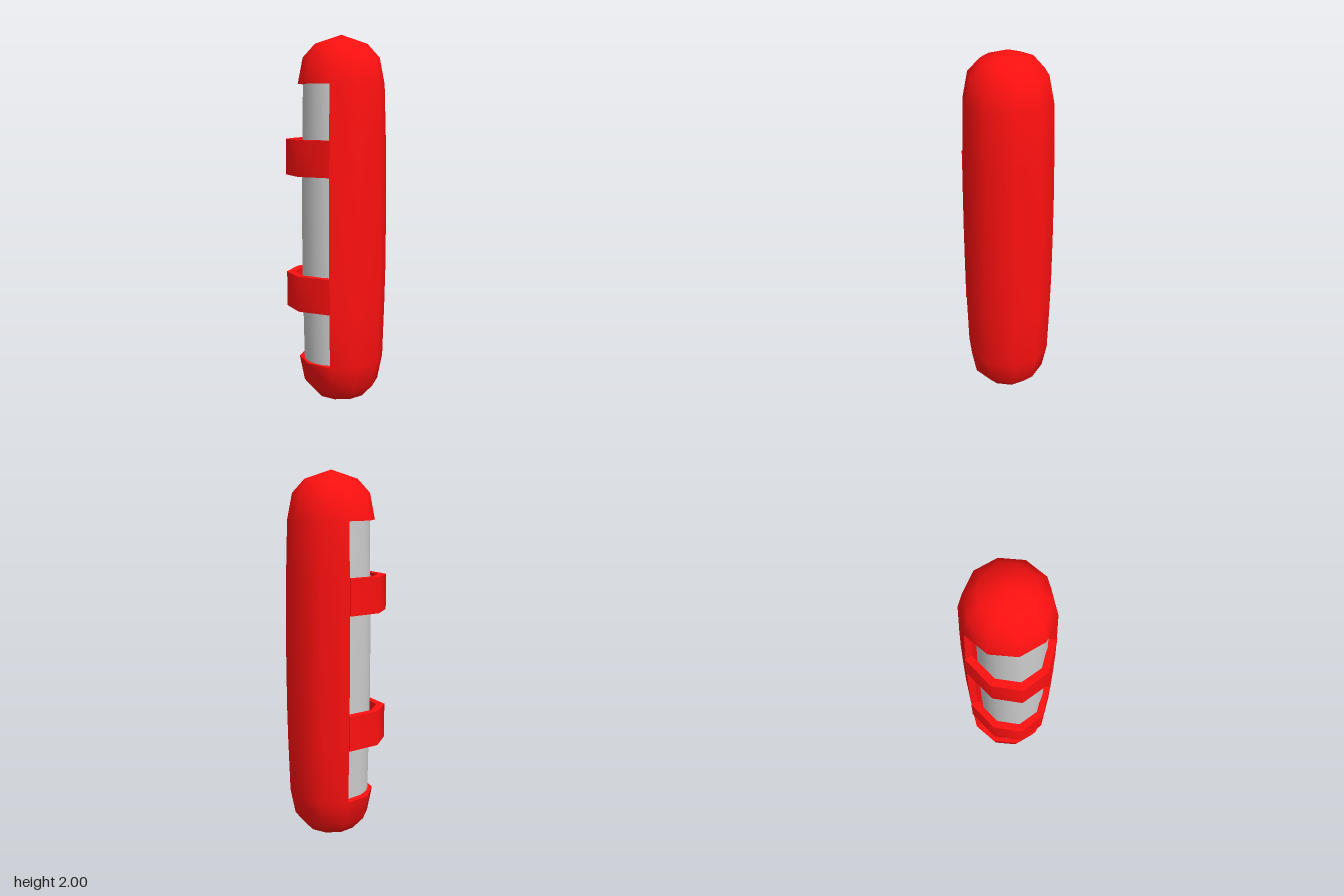
import * as THREE from 'three';
import { mergeGeometries, toCreasedNormals } from 'three/addons/utils/BufferGeometryUtils.js';

const SIDES = 10;
const STEP = (Math.PI * 2) / SIDES;
const WALL = 0.04;
const CREASE = 0.9;
const CENTRE = { x: 0.008, z: -0.015 };

const v2 = (pairs) => pairs.map(([x, y]) => new THREE.Vector2(x, y));

// Flat wall closing a revolved section at angle phi
function endWall(points, phi) {
  return new THREE.ShapeGeometry(new THREE.Shape(points)).rotateY(phi - Math.PI / 2);
}

// Ten-sided capsule shell, with four of its sides left open as a window
function shellGeometry() {
  const rows = [[0.23, 0.258], [0.239, 0.55], [0.243, 0.74], [0.244, 1],
    [0.243, 1.27], [0.239, 1.46], [0.23, 1.746]];
  const inner = rows.map(([r, y]) => [r - WALL, y]).reverse();
  const start = STEP;
  const span = 6 * STEP;
  const section = v2([...rows, ...inner]);
  const panel = new THREE.LatheGeometry(section, 6, start, span);

  // Hollow dome: inner skin down, lip, outer skin up
  const dome = [[0, 1.96], [0.11, 1.92], [0.165, 1.862], [0.19, 1.746],
    [0.23, 1.746], [0.203, 1.883], [0.138, 1.954], [0, 2]];
  const bottom = dome.map(([r, y]) => [r, 2.004 - y]).reverse();
  bottom[0][1] = 0;

  const merged = mergeGeometries([
    panel,
    endWall(section, start),
    endWall(section, start + span),
    new THREE.LatheGeometry(v2(dome), SIDES),
    new THREE.LatheGeometry(v2(bottom), SIDES),
  ]);
  return toCreasedNormals(merged, CREASE).translate(CENTRE.x, 0, CENTRE.z);
}

// Raised strap that bridges the window; points are x, z
function bandGeometry(height) {
  const outer = [[-0.225, -0.09], [-0.242, 0.097], [-0.16, 0.228], [-0.012, 0.26], [0.153, 0.178]];
  const inner = [[0.13, 0.146], [-0.012, 0.22], [-0.133, 0.193], [-0.202, 0.085], [-0.186, -0.078]];
  const shape = new THREE.Shape(v2([...outer, ...inner].map(([x, z]) => [x, -z])));
  const strap = new THREE.ExtrudeGeometry(shape, { depth: height, bevelEnabled: false, steps: 1 });
  return toCreasedNormals(strap.rotateX(-Math.PI / 2), CREASE);
}

export function createModel() {
  const model = new THREE.Group();
  model.name = 'capsule';
  const red = new THREE.MeshStandardMaterial({ color: 0xff1010, side: THREE.DoubleSide });
  const grey = new THREE.MeshStandardMaterial({ color: 0xcccccc });

  const add = (name, geometry, material) => {
    const mesh = new THREE.Mesh(geometry, material);
    mesh.name = name;
    model.add(mesh);
    return mesh;
  };

  add('shell', shellGeometry(), red);

  // Straps across the window
  [0.55, 1.27].forEach((y, i) => {
    add(i ? 'upperBand' : 'lowerBand', bandGeometry(0.19), red).position.y = y;
  });

  // Slightly bulging core inside the shell
  const core = v2([[0, 0.22], [0.17, 0.22], [0.175, 0.5], [0.18, 0.8],
    [0.18, 1.2], [0.175, 1.5], [0.17, 1.78], [0, 1.78]]);
  add('core', toCreasedNormals(new THREE.LatheGeometry(core, 24), CREASE), grey).position.z = 0.02;

  return model;
}
